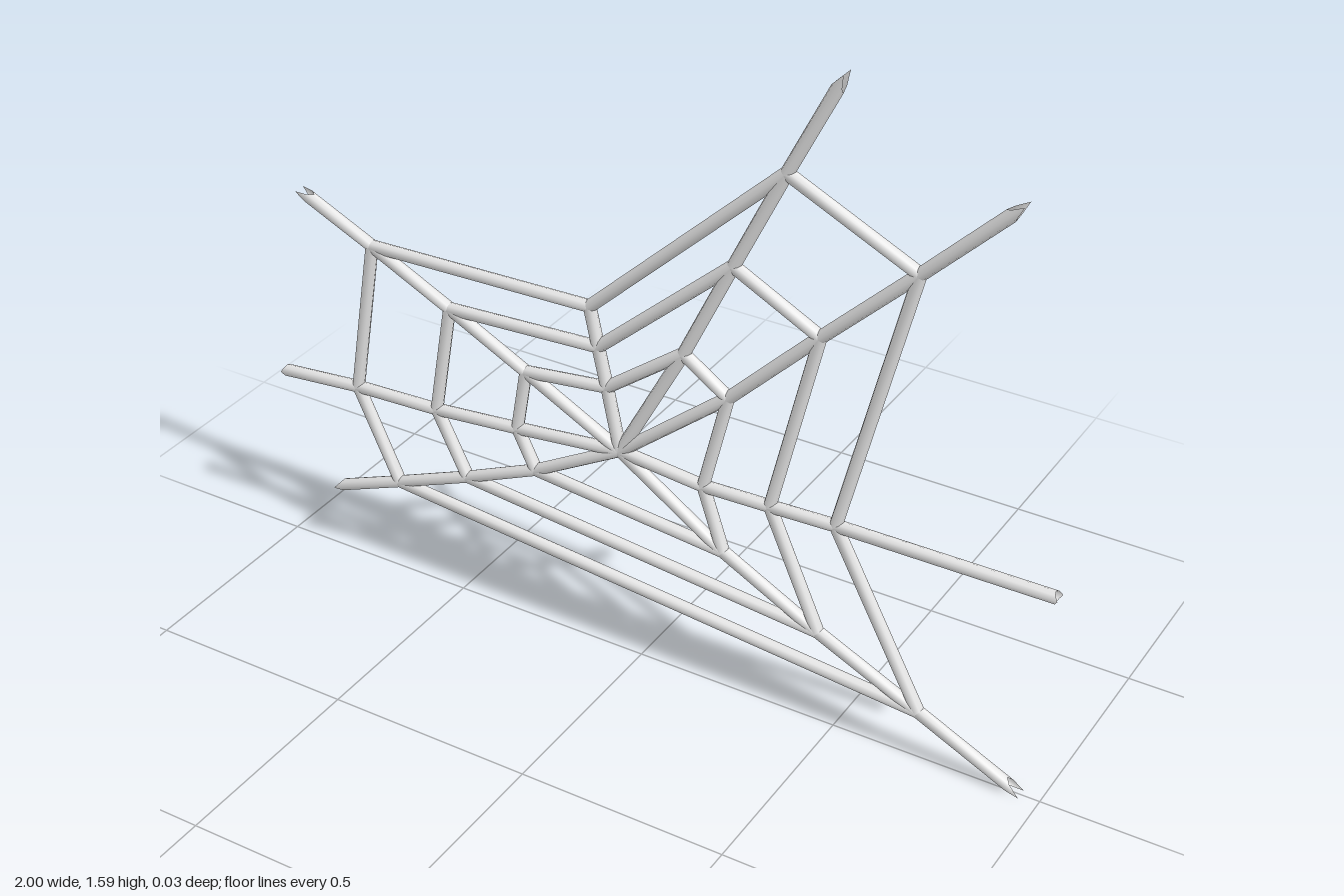
import * as THREE from 'three';

const RADIUS = 0.015, SIDES = 8;
const HUB = [-0.055, 0.545];

// Each spoke: its crossings with the three rings, its tip, and how far the tip is cut to a point
const SPOKES = [
  { name: 'upperLeftSpoke', knots: [[0.105, 0.845], [0.222, 1.092], [0.34, 1.338]], tip: [0.464, 1.588], cut: 0.045 },
  { name: 'cornerLeftSpoke', knots: [[0.217, 0.77], [0.43, 0.985], [0.644, 1.194]], tip: [0.857, 1.407], cut: 0.045 },
  { name: 'sideLeftSpoke', knots: [[0.158, 0.525], [0.324, 0.53], [0.484, 0.536]], tip: [1.0, 0.54], cut: 0.01 },
  { name: 'lowerLeftSpoke', knots: [[0.211, 0.369], [0.452, 0.242], [0.703, 0.124]], tip: [0.956, 0.002], cut: 0.045 },
  { name: 'lowerRightSpoke', knots: [[-0.281, 0.417], [-0.473, 0.332], [-0.671, 0.251]], tip: [-0.862, 0.175], cut: 0.03 },
  { name: 'sideRightSpoke', knots: [[-0.329, 0.514], [-0.553, 0.492], [-0.778, 0.482]], tip: [-1.0, 0.46], cut: 0.012 },
  { name: 'upperRightSpoke', knots: [[-0.302, 0.673], [-0.505, 0.775], [-0.714, 0.876]], tip: [-0.914, 0.968], cut: 0.04 },
  { name: 'shortTopSpoke', knots: [[-0.088, 0.7], [-0.11, 0.796], [-0.131, 0.892]] },
];

// Thin mitred tube through points in the xy plane; the last end can be cut to a wedge
function strandGeometry(coords, closed, cut = 0) {
  const pts = coords.map(([x, y]) => new THREE.Vector2(x, y));
  const n = pts.length, segments = closed ? n : n - 1;
  const dir = (i) => pts[(i + 1) % n].clone().sub(pts[i % n]).normalize();
  const positions = [], indices = [];

  for (let s = 0; s < segments; s++) {
    const d = dir(s), base = positions.length / 3;
    for (let e = 0; e < 2; e++) {
      const p = pts[(s + e) % n];
      const isEnd = !closed && (s + e === 0 || s + e === n - 1);
      const other = isEnd ? d : dir(e ? s + 1 : s + n - 1);
      const t = d.clone().add(other).normalize();
      const width = RADIUS / t.dot(d);
      const trim = isEnd && e === 1 ? cut : 0;
      for (let k = 0; k < SIDES; k++) {
        const a = (k / SIDES) * Math.PI * 2;
        const across = Math.cos(a) * width, back = Math.abs(Math.cos(a)) * trim;
        positions.push(
          p.x - t.y * across - t.x * back,
          p.y + t.x * across - t.y * back,
          Math.sin(a) * RADIUS
        );
      }
    }
    for (let k = 0; k < SIDES; k++) {
      const a = base + k, b = base + ((k + 1) % SIDES);
      indices.push(a, b, b + SIDES, a, b + SIDES, a + SIDES);
    }
  }
  const geometry = new THREE.BufferGeometry();
  geometry.setAttribute('position', new THREE.Float32BufferAttribute(positions, 3));
  geometry.setIndex(indices);
  geometry.computeVertexNormals();
  return geometry;
}

export function createModel() {
  const web = new THREE.Group();
  web.name = 'spiderWeb';
  const silk = new THREE.MeshStandardMaterial({ color: 0xe6e6e6, side: THREE.DoubleSide });
  silk.name = 'paleSilk';

  const add = (name, geometry) => {
    const mesh = new THREE.Mesh(geometry, silk);
    mesh.name = name;
    web.add(mesh);
  };

  // Spokes running out from the hub
  for (const { name, knots, tip, cut } of SPOKES) {
    add(name, strandGeometry([HUB, ...knots, ...(tip ? [tip] : [])], false, cut));
  }

  // Three closed rings joining the spokes
  ['innerRing', 'middleRing', 'outerRing'].forEach((name, i) => {
    add(name, strandGeometry(SPOKES.map((spoke) => spoke.knots[i]), true));
  });

  return web;
}
